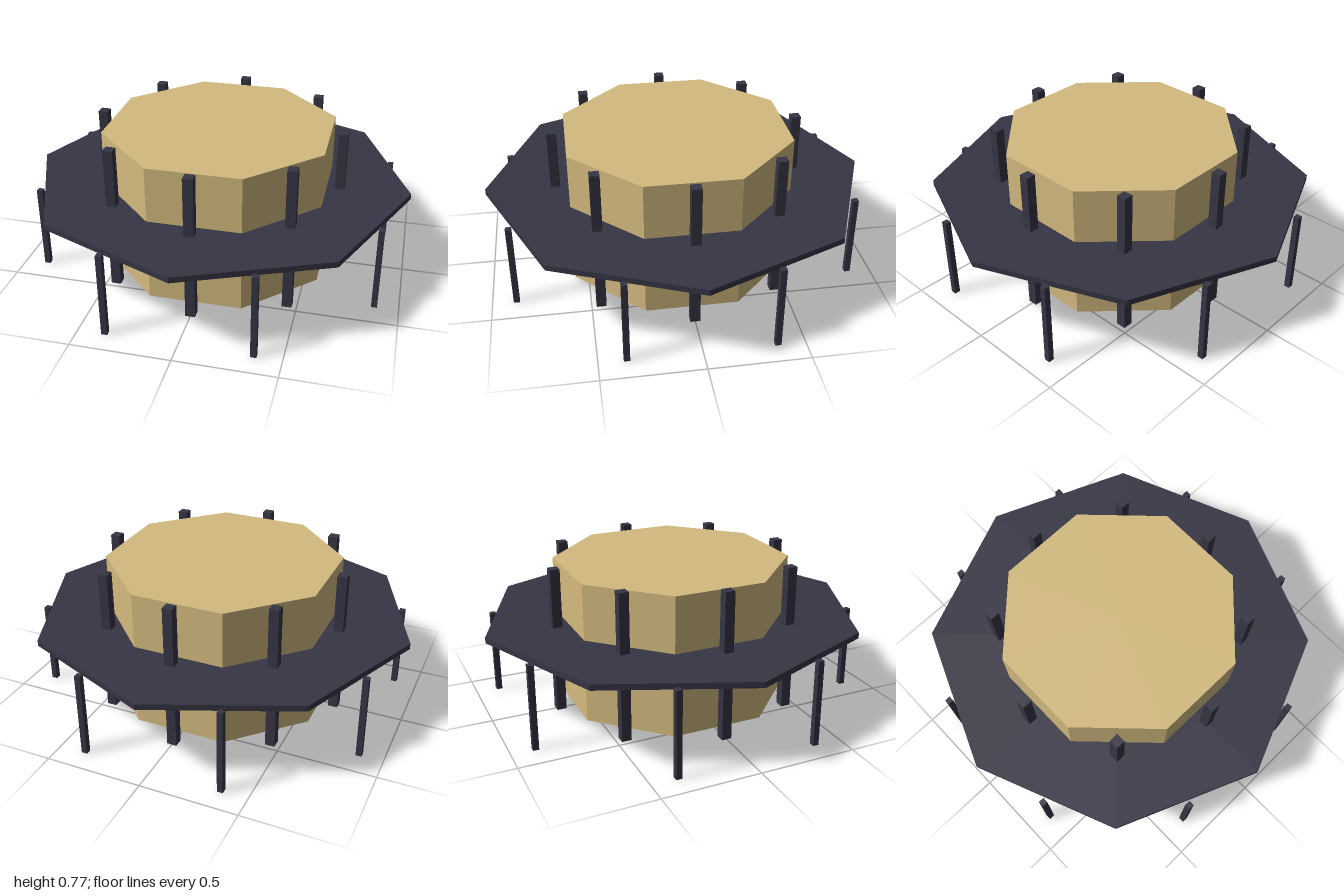
import * as THREE from 'three';

export function createModel() {
  const model = new THREE.Group();
  const dark = new THREE.MeshStandardMaterial({ color: 0x363544, flatShading: true });
  const sand = new THREE.MeshStandardMaterial({ color: 0xd3ba7f, flatShading: true });

  // Octagonal prism between two heights
  function octagon(name, radius, bottom, top, turn, material) {
    const mesh = new THREE.Mesh(new THREE.CylinderGeometry(radius, radius, top - bottom, 8), material);
    mesh.name = name;
    mesh.position.y = (bottom + top) / 2;
    mesh.rotation.y = turn;
    model.add(mesh);
  }

  // Ring of eight square posts, all aligned with the axes
  function postRing(name, radius, width, height, turn) {
    const ring = new THREE.Group();
    ring.name = name + 's';
    const geometry = new THREE.BoxGeometry(width, height, width);
    for (let i = 0; i < 8; i++) {
      const angle = turn + (i * Math.PI) / 4;
      const post = new THREE.Mesh(geometry, dark);
      post.name = name;
      post.position.set(radius * Math.sin(angle), height / 2, radius * Math.cos(angle));
      ring.add(post);
    }
    model.add(ring);
  }

  // Central drum, flat sides facing the axes
  octagon('drum', 0.617, 0.023, 0.748, Math.PI / 8, sand);
  // Thin deck around it, corners on the axes
  octagon('deck', 1, 0.43, 0.46, 0, dark);
  // Tall posts near the drum and slim legs at the deck edges
  postRing('innerPost', 0.637, 0.05, 0.767, 0);
  postRing('outerLeg', 0.95, 0.03, 0.445, Math.PI / 8);

  return model;
}
